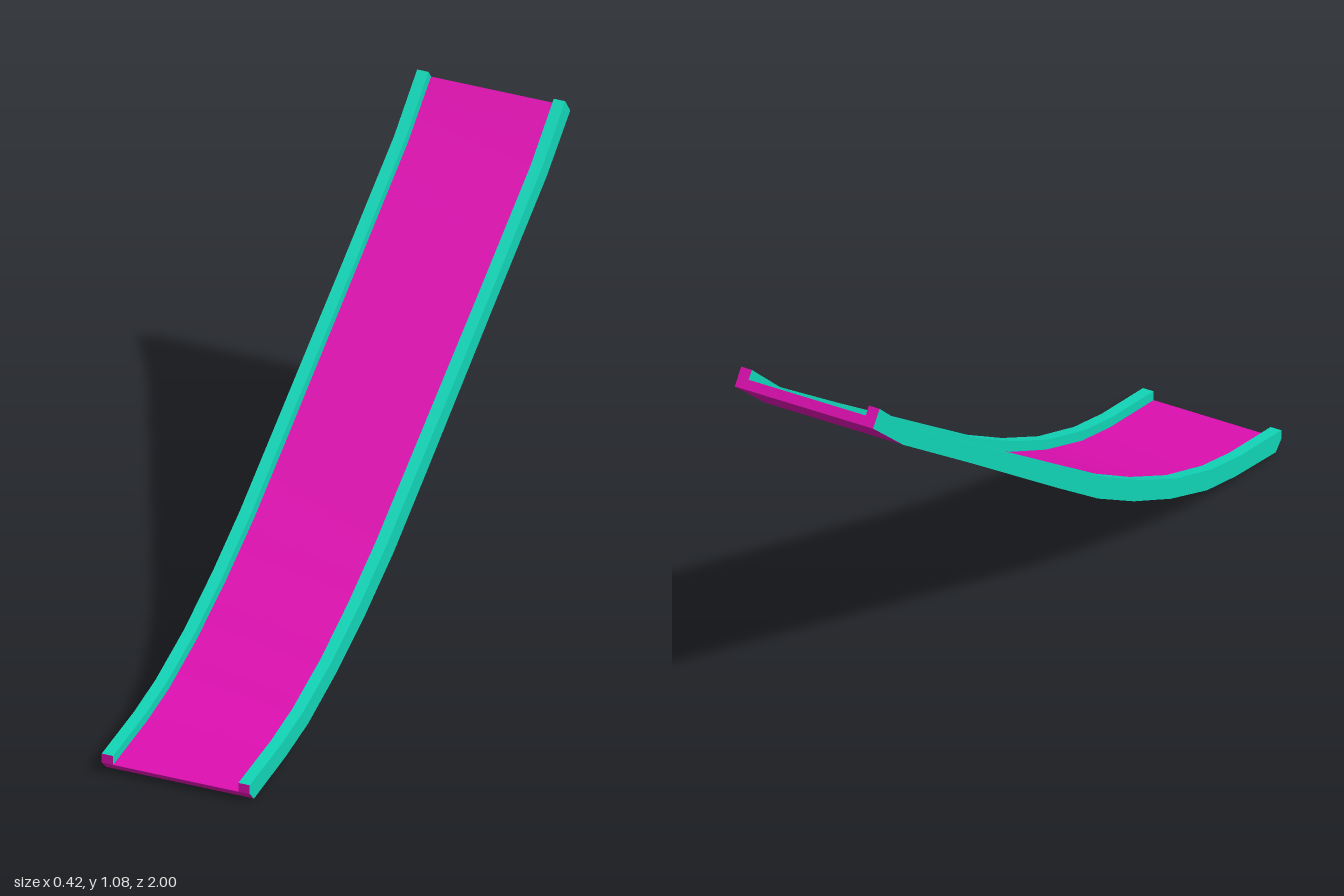
import * as THREE from 'three';

// Side profile from the low front end to the high back end:
// [top z, top y, bottom z, bottom y]
const stations = [
  [1.0, 0.052, 0.973, 0.0],
  [0.797, 0.075, 0.775, 0.025],
  [0.663, 0.102, 0.636, 0.052],
  [0.487, 0.16, 0.46, 0.113],
  [0.31, 0.241, 0.278, 0.194],
  [0.139, 0.334, 0.102, 0.288],
  [-0.064, 0.463, -0.096, 0.416],
  [-0.503, 0.743, -0.526, 0.7],
  [-0.824, 0.952, -0.852, 0.912],
  [-0.968, 1.075, -1.0, 1.032],
];
const OUT = 0.208, IN = 0.176;

// U-shaped cross-section as [x, height fraction], clockwise seen from the front
const section = [
  [-OUT, 0], [-OUT, 0.5], [-OUT, 1], [-IN, 1], [-IN, 0.5],
  [IN, 0.5], [IN, 1], [OUT, 1], [OUT, 0.5], [OUT, 0],
];

function ringPoint(s, k) {
  const [tz, ty, bz, by] = stations[s];
  const [x, t] = section[k];
  // the front lip is cut upright above floor level
  const z = s === 0 && t === 0.5 ? tz : bz + (tz - bz) * t;
  return [x, by + (ty - by) * t, z];
}

// Smooth strip swept along the slide through the given section points
function strip(keys) {
  const pos = [], index = [], n = keys.length;
  stations.forEach((_, s) => keys.forEach(k => pos.push(...ringPoint(s, k))));
  for (let s = 0; s < stations.length - 1; s++) {
    for (let j = 0; j < n - 1; j++) {
      const a = s * n + j, b = a + 1, c = a + n, d = c + 1;
      index.push(a, b, c, b, d, c);
    }
  }
  const g = new THREE.BufferGeometry();
  g.setAttribute('position', new THREE.Float32BufferAttribute(pos, 3));
  g.setIndex(index);
  g.computeVertexNormals();
  return g;
}

// Flat end cap: the slab under the floor plus both rail ends
function cap(s, facesFront) {
  const pos = [];
  for (const quad of [[0, 1, 8, 9], [1, 2, 3, 4], [5, 6, 7, 8]]) {
    const q = facesFront ? [...quad].reverse() : quad;
    for (const i of [0, 1, 2, 0, 2, 3]) pos.push(...ringPoint(s, q[i]));
  }
  const g = new THREE.BufferGeometry();
  g.setAttribute('position', new THREE.Float32BufferAttribute(pos, 3));
  g.computeVertexNormals();
  return g;
}

export function createModel() {
  const magenta = new THREE.MeshStandardMaterial({ color: 0xdd0fb0 });
  const teal = new THREE.MeshStandardMaterial({ color: 0x11d4b6 });
  const model = new THREE.Group();
  model.name = 'slide';

  const add = (parent, name, geometry, material) => {
    const mesh = new THREE.Mesh(geometry, material);
    mesh.name = name;
    parent.add(mesh);
  };

  // Sliding surface, underside and ends
  add(model, 'floor', strip([4, 5]), magenta);
  add(model, 'underside', strip([9, 0]), magenta);
  add(model, 'frontEnd', cap(0, true), magenta);
  add(model, 'backEnd', cap(stations.length - 1, false), magenta);

  // Raised side rails
  const rails = {
    rightRail: { OuterWall: [0, 1, 2], Top: [2, 3], InnerWall: [3, 4] },
    leftRail: { InnerWall: [5, 6], Top: [6, 7], OuterWall: [7, 8, 9] },
  };
  for (const [name, faces] of Object.entries(rails)) {
    const rail = new THREE.Group();
    rail.name = name;
    for (const [face, keys] of Object.entries(faces)) add(rail, name + face, strip(keys), teal);
    model.add(rail);
  }
  return model;
}
